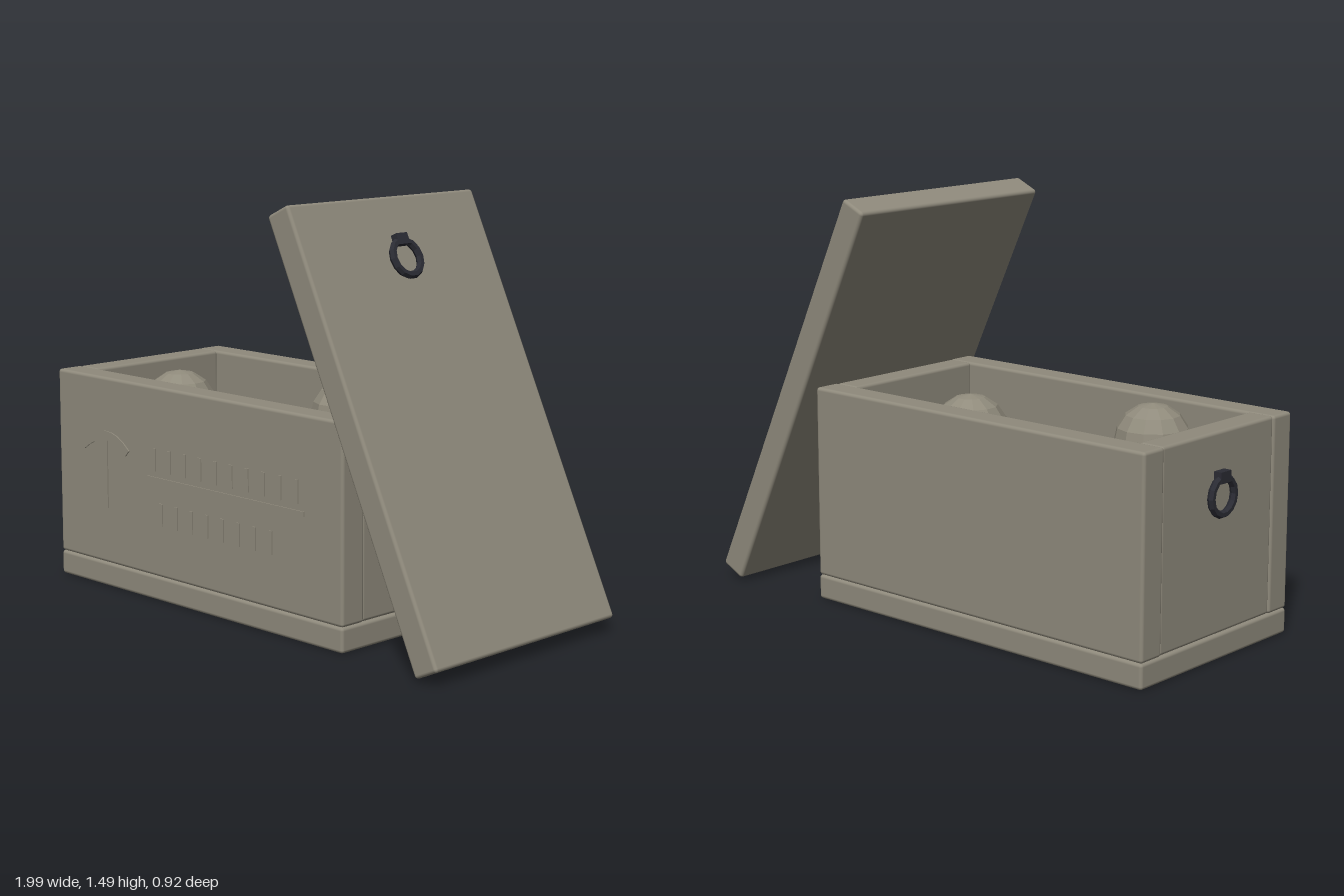
import * as THREE from 'three';
import { RoundedBoxGeometry } from 'three/addons/geometries/RoundedBoxGeometry.js';

const stone = new THREE.MeshStandardMaterial({ name: 'stone', color: 0x8f8a7c });
const bone = new THREE.MeshStandardMaterial({ name: 'bone', color: 0x908b7c });
const iron = new THREE.MeshStandardMaterial({ name: 'iron', color: 0x2a2b33 });
bone.flatShading = true;
iron.flatShading = true;

function add(parent, name, geometry, material, x = 0, y = 0, z = 0) {
  const mesh = new THREE.Mesh(geometry, material);
  mesh.name = name;
  mesh.position.set(x, y, z);
  parent.add(mesh);
  return mesh;
}

function group(parent, name, x = 0, y = 0, z = 0) {
  const g = new THREE.Group();
  g.name = name;
  g.position.set(x, y, z);
  parent.add(g);
  return g;
}

// stone slab with softened edges
const slab = (w, h, d) => new RoundedBoxGeometry(w, h, d, 2, 0.012);

// iron ring hanging flat against a face whose outward normal is local +x
function pullRing(parent, x, y, z) {
  const g = group(parent, 'pullRing', x, y, z);
  add(g, 'ring', new THREE.TorusGeometry(0.063, 0.014, 6, 14), iron, 0.014).rotation.y = Math.PI / 2;
  add(g, 'ringMount', new THREE.BoxGeometry(0.03, 0.04, 0.054), iron, 0.012, 0.066);
  return g;
}

// shaft with two knobs at each end, lying along x
function longBone(parent, length, x, y, z, yaw) {
  const g = group(parent, 'longBone', x, y, z);
  g.rotation.y = yaw;
  add(g, 'shaft', new THREE.CylinderGeometry(0.022, 0.022, length, 8), bone).rotation.z = Math.PI / 2;
  for (const sx of [-1, 1]) for (const sz of [-1, 1]) {
    add(g, 'knob', new THREE.SphereGeometry(0.033, 8, 6), bone, sx * length / 2, 0, sz * 0.025);
  }
}

function skull(parent, x, y, z, yaw) {
  const g = group(parent, 'skull', x, y, z);
  g.rotation.y = yaw;
  add(g, 'cranium', new THREE.SphereGeometry(0.137, 12, 8), bone);
  add(g, 'jaw', new THREE.BoxGeometry(0.12, 0.13, 0.11), bone, 0, -0.095, 0.075);
  for (const s of [-1, 1]) {
    add(g, 'eyeSocket', new THREE.SphereGeometry(0.031, 8, 6), iron, s * 0.052, -0.03, 0.142);
  }
}

// thin raised relief on the front wall
function relief(parent, name, w, h, x, y) {
  return add(parent, name, new THREE.BoxGeometry(w, h, 0.008), stone, x, y, 0.406);
}

export function createModel() {
  const model = new THREE.Group();
  model.name = 'stoneCoffin';

  // chest: base slab, long walls, end walls between them
  const cx = -0.22;
  const chest = group(model, 'chest');
  add(chest, 'baseSlab', slab(1.5, 0.09, 0.812), stone, cx, 0.047, 0);
  for (const s of [-1, 1]) {
    add(chest, s > 0 ? 'frontWall' : 'backWall', slab(1.5, 0.7, 0.105), stone, cx, 0.442, s * 0.353);
    add(chest, 'endWall', slab(0.1, 0.7, 0.612), stone, cx + s * 0.695, 0.442, 0);
    const ring = pullRing(chest, cx + s * 0.748, 0.575, 0);
    if (s < 0) ring.rotation.y = Math.PI;
  }

  // lid leaning against the right-hand rim
  const lid = group(model, 'lid', 0.614, 0.752, 0);
  lid.rotation.z = 0.441;
  add(lid, 'lidSlab', slab(0.105, 1.59, 0.915), stone);
  pullRing(lid, 0.053, 0.565, 0);

  // stacked bones
  const bones = group(model, 'bones');
  [-0.265, -0.14, 0, 0.135, 0.255].forEach((z, i) => {
    for (let layer = 0; layer < 5; layer++) {
      const shift = layer % 2 ? 0.012 : -0.008;
      longBone(bones, 0.82, 0, 0.14 + layer * 0.08, z + shift, (layer % 2 ? 1 : -1) * 0.015 * (i % 2 ? 1 : -1));
    }
  });

  // skulls resting on top
  skull(model, 0, 0.668, -0.16, 0.33);
  skull(model, -0.57, 0.668, 0.15, 0.42);

  // pick relief: curved head and straight handle
  const carving = group(model, 'frontRelief');
  relief(carving, 'pickHandle', 0.026, 0.26, -0.697, 0.433);
  const head = new THREE.Shape();
  head.moveTo(-0.83, 0.525);
  head.quadraticCurveTo(-0.69, 0.655, -0.56, 0.535);
  head.lineTo(-0.58, 0.513);
  head.quadraticCurveTo(-0.69, 0.605, -0.815, 0.51);
  head.closePath();
  add(carving, 'pickHead', new THREE.ExtrudeGeometry(head, { depth: 0.008, bevelEnabled: false, curveSegments: 8 }),
    stone, 0, 0, 0.402);

  // dividing bar and rows of plain notched marks
  relief(carving, 'dividingBar', 0.81, 0.018, -0.055, 0.452);
  const rows = [{ count: 10, x: -0.42, step: 0.0815, y: 0.525 }, { count: 8, x: -0.385, step: 0.0815, y: 0.325 }];
  for (const row of rows) {
    for (let i = 0; i < row.count; i++) {
      const x = row.x + i * row.step;
      relief(carving, 'notch', 0.016, 0.084, x, row.y);
    }
  }
  return model;
}
